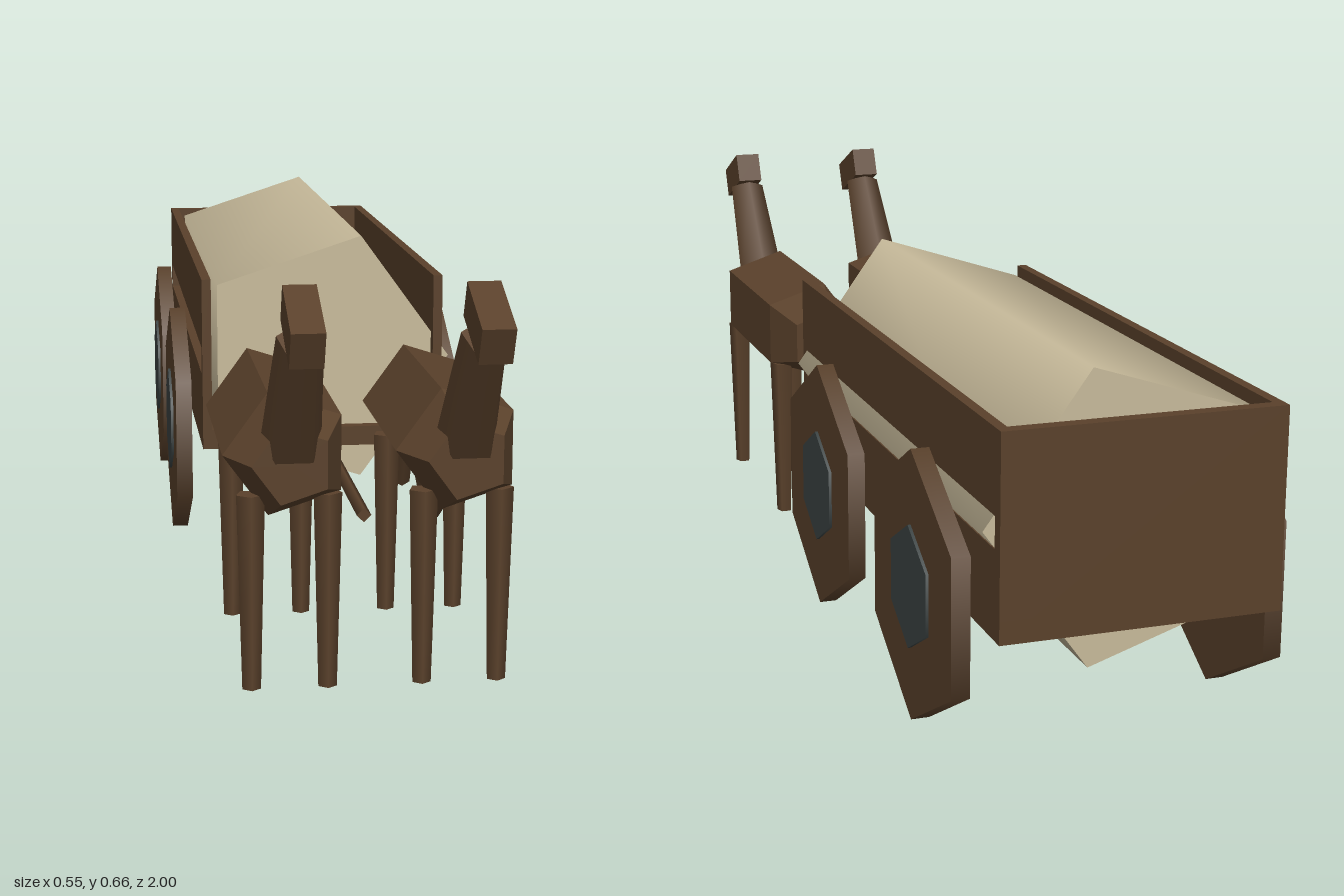
import * as THREE from 'three';

const wood = new THREE.MeshStandardMaterial({ color: 0x5a412b });
wood.name = 'brown wood';
const hide = new THREE.MeshStandardMaterial({ color: 0x5a412b, flatShading: true });
hide.name = 'brown hide';
const canvas = new THREE.MeshStandardMaterial({ color: 0xc8bb9b });
canvas.name = 'tan canvas';
const iron = new THREE.MeshStandardMaterial({ color: 0x3c4444 });
iron.name = 'dark iron';

function add(parent, name, geometry, material, x = 0, y = 0, z = 0) {
  const mesh = new THREE.Mesh(geometry, material);
  mesh.name = name;
  mesh.position.set(x, y, z);
  parent.add(mesh);
  return mesh;
}

// Box given by its minimum and maximum corners
function block(parent, name, [x0, y0, z0], [x1, y1, z1]) {
  add(parent, name, new THREE.BoxGeometry(x1 - x0, y1 - y0, z1 - z0), wood,
    (x0 + x1) / 2, (y0 + y1) / 2, (z0 + z1) / 2);
}

function createWagon() {
  const wagon = new THREE.Group();
  wagon.name = 'wagon';
  const back = -1, front = 0.077, half = 0.224, inner = 0.207;

  // Open-fronted bed with slotted sides
  block(wagon, 'floor', [-half, 0.226, back], [half, 0.262, front]);
  block(wagon, 'backBoard', [-half, 0.226, back], [half, 0.545, back + 0.022]);
  for (const s of [-1, 1]) {
    const x0 = Math.min(s * half, s * inner), x1 = Math.max(s * half, s * inner);
    block(wagon, 'lowerSideBoard', [x0, 0.226, back], [x1, 0.365, front]);
    block(wagon, 'upperSideBoard', [x0, 0.415, back], [x1, 0.545, front]);
    block(wagon, 'frontPost', [x0, 0.365, front - 0.022], [x1, 0.415, front]);
  }

  // Five-sided load
  const load = new THREE.CylinderGeometry(0.24, 0.24, 1.025, 5, 1, false, Math.PI / 2);
  add(wagon, 'load', load.rotateX(Math.PI / 2), canvas, 0, 0.39, -0.458);

  // Six-sided wheels with hubs
  const disc = (r, w) =>
    new THREE.CylinderGeometry(r, r, w, 6, 1, false, Math.PI / 2).rotateZ(Math.PI / 2);
  for (const x of [-0.255, 0.255]) {
    for (const z of [-0.19, -0.73]) {
      add(wagon, 'wheel', disc(0.222, 0.03), wood, x, 0.226, z);
      add(wagon, 'hub', disc(0.101, 0.04), iron, x, 0.226, z);
    }
  }

  // Draw pole
  const pole = new THREE.CylinderGeometry(0.012, 0.012, 0.56, 4).rotateX(Math.PI / 2);
  add(wagon, 'drawPole', pole, wood, 0, 0.241, 0.335);
  return wagon;
}

function createHorse(x) {
  const horse = new THREE.Group();
  horse.name = 'horse';
  horse.position.x = x;

  // Five-sided body, narrowed at both ends
  const profile = [[0, 0.268], [0.064, 0.268], [0.102, 0.365], [0.102, 0.727], [0.064, 0.806], [0, 0.806]]
    .map(([r, z]) => new THREE.Vector2(r, z));
  const body = new THREE.LatheGeometry(profile, 5, -Math.PI / 2).rotateX(Math.PI / 2);
  add(horse, 'body', body, hide, 0, 0.375, 0);

  // Legs
  for (const lx of [-0.06, 0.06]) {
    for (const lz of [0.735, 0.362]) {
      add(horse, 'leg', new THREE.CylinderGeometry(0.0235, 0.0155, 0.315, 5), wood, lx, 0.1575, lz);
    }
  }

  // Neck and head
  const neck = new THREE.CylinderGeometry(0.037, 0.049, 0.22, 5, 1, false, Math.PI);
  add(horse, 'neck', neck, wood, 0, 0.494, 0.843).rotation.x = 0.6;
  add(horse, 'head', new THREE.BoxGeometry(0.05, 0.06, 0.125), wood, 0, 0.611, 0.93).rotation.x = 0.42;

  // Tail
  const tail = new THREE.CylinderGeometry(0.014, 0.016, 0.22, 5);
  add(horse, 'tail', tail, wood, 0, 0.274, 0.215).rotation.x = 0.51;
  return horse;
}

export function createModel() {
  const model = new THREE.Group();
  model.name = 'horseDrawnWagon';
  model.add(createWagon(), createHorse(-0.135), createHorse(0.135));
  return model;
}
